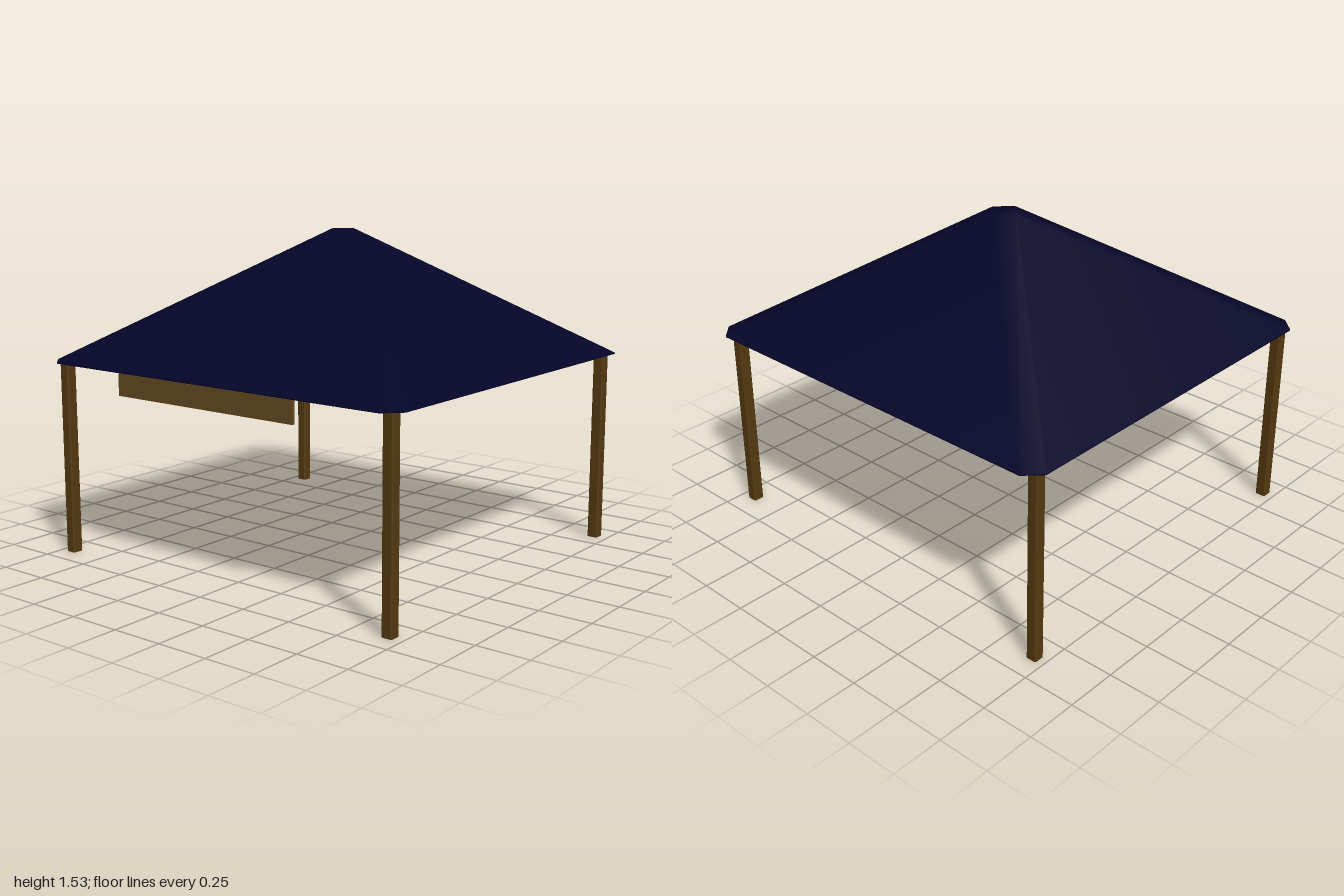
import * as THREE from 'three';
import { mergeVertices } from 'three/addons/utils/BufferGeometryUtils.js';

// Rectangle with cut corners, counter-clockwise seen from above
function cutRect(hx, hz, c, y, cz = 0) {
  return [
    [hx - c, hz], [hx, hz - c], [hx, c - hz], [hx - c, -hz],
    [c - hx, -hz], [-hx, c - hz], [-hx, hz - c], [c - hx, hz],
  ].map(([x, z]) => [x, y, z + cz]);
}

// Smooth skin through a list of eight-point rings
function loft(...rings) {
  const index = [];
  for (let r = 0; r < rings.length - 1; r++) {
    for (let i = 0; i < 8; i++) {
      const a = r * 8 + i, b = r * 8 + (i + 1) % 8;
      index.push(a, b, b + 8, a, b + 8, a + 8);
    }
  }
  const g = new THREE.BufferGeometry();
  g.setAttribute('position', new THREE.Float32BufferAttribute(rings.flat(2), 3));
  g.setIndex(index);
  const merged = mergeVertices(g);
  merged.computeVertexNormals();
  return merged;
}

// Upright post with slightly chamfered edges, standing on y = 0
function postGeometry(height) {
  const pts = cutRect(0.0265, 0.027, 0.006, 0).map(([x, , z]) => new THREE.Vector2(x, -z));
  const g = new THREE.ExtrudeGeometry(new THREE.Shape(pts), { depth: height, bevelEnabled: false });
  g.rotateX(-Math.PI / 2);
  return g;
}

export function createModel() {
  const model = new THREE.Group();
  model.name = 'pavilion';
  const roof = new THREE.MeshStandardMaterial({ color: 0x040428 });
  const wood = new THREE.MeshStandardMaterial({ color: 0x533910 });
  const board = new THREE.MeshStandardMaterial({ color: 0x634920 });
  const metal = new THREE.MeshStandardMaterial({ color: 0x1c1712 });

  const add = (name, geometry, material, x = 0, y = 0, z = 0) => {
    const mesh = new THREE.Mesh(geometry, material);
    mesh.name = name;
    mesh.position.set(x, y, z);
    model.add(mesh);
  };

  // Thick hipped roof: outer slopes with a small diamond cap, thin eave lip, flat soffit, hollow underside
  const eaveTop = cutRect(1, 0.96, 0.075, 0.932);
  const eaveBottom = cutRect(1, 0.96, 0.075, 0.927);
  const innerEave = cutRect(0.93, 0.89, 0.034, 0.927);
  add('roofSlopes', loft(eaveTop, cutRect(0.073, 0.073, 0.073, 1.535, -0.03), cutRect(0, 0, 0, 1.535, -0.03)), roof);
  add('roofEaveLip', loft(eaveBottom, eaveTop), roof);
  add('roofSoffit', loft(innerEave, eaveBottom), roof);
  add('roofUnderside', loft(cutRect(0, 0, 0, 1.492, -0.03), cutRect(0.06, 0.06, 0.06, 1.492, -0.03), innerEave), roof);

  // Four corner posts
  const post = postGeometry(0.935);
  for (const [end, z] of [['front', 0.88], ['back', -0.873]]) {
    add(end + 'LeftPost', post, wood, 0.93, 0, z);
    add(end + 'RightPost', post, wood, -0.94, 0, z);
  }

  // Blank sign board hung under the front eave
  add('signBoard', new THREE.BoxGeometry(1.013, 0.102, 0.015), board, -0.029, 0.869, 0.932);
  const hanger = new THREE.CylinderGeometry(0.005, 0.005, 0.022, 8);
  add('leftSignHanger', hanger, metal, 0.425, 0.929, 0.932);
  add('rightSignHanger', hanger, metal, -0.495, 0.929, 0.932);

  return model;
}
